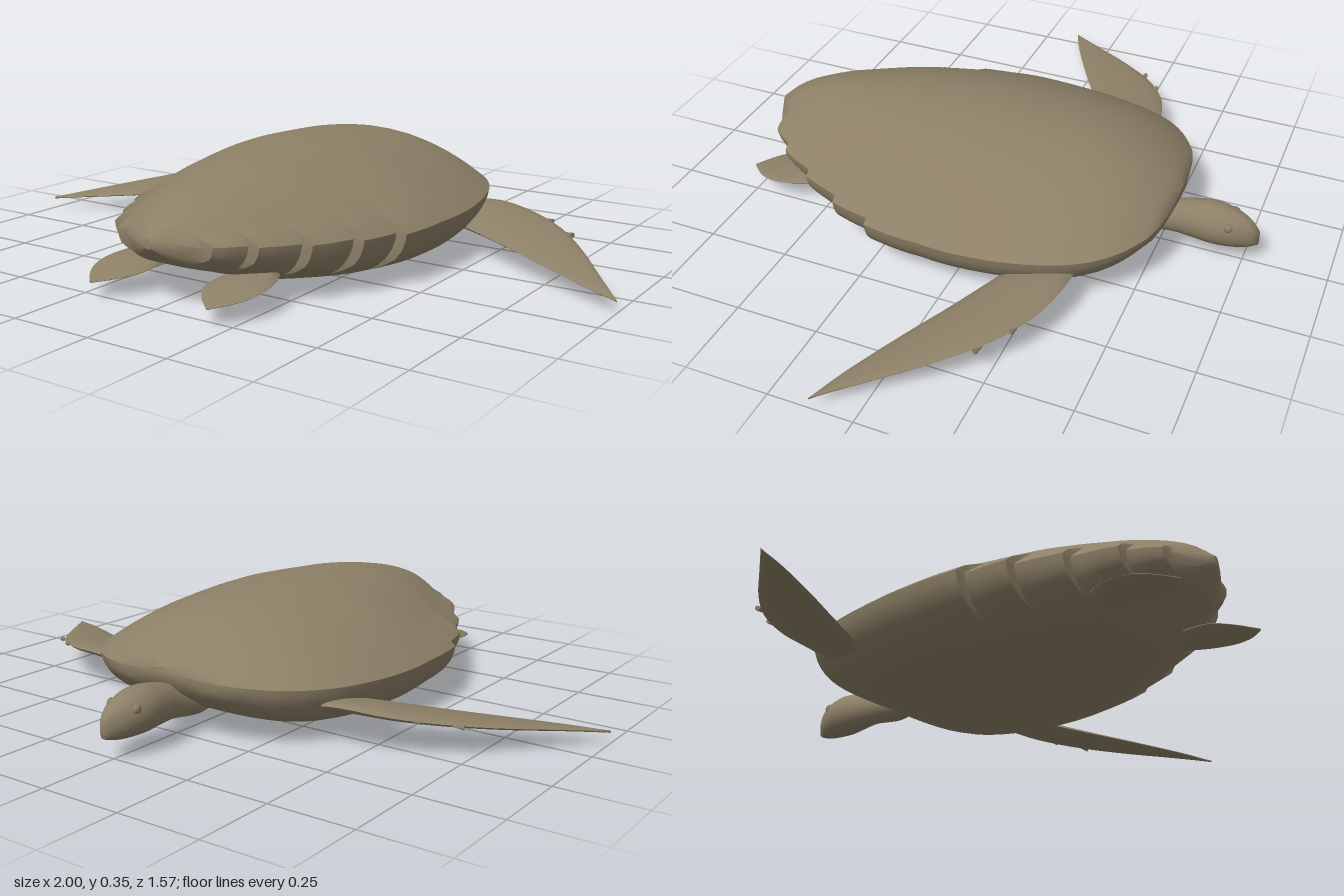
import * as THREE from 'three';
import { toCreasedNormals } from 'three/addons/utils/BufferGeometryUtils.js';

// Skin closed cross-section rings (arrays of Vector3), capping both ends
function loft(rings, crease = 0.7) {
  const n = rings[0].length, pts = rings.flat(), idx = [];
  for (let r = 0; r < rings.length - 1; r++) {
    for (let i = 0; i < n; i++) {
      const a = r * n + i, b = r * n + (i + 1) % n;
      idx.push(a, b, b + n, a, b + n, a + n);
    }
  }
  const last = (rings.length - 1) * n;
  for (let i = 1; i < n - 1; i++) {
    idx.push(0, i + 1, i, last, last + i, last + i + 1);
  }
  // turn the faces outward if the enclosed volume is negative
  let volume = 0;
  const c = new THREE.Vector3();
  for (let i = 0; i < idx.length; i += 3) {
    volume += pts[idx[i]].dot(c.crossVectors(pts[idx[i + 1]], pts[idx[i + 2]]));
  }
  if (volume < 0) idx.reverse();
  const geo = new THREE.BufferGeometry().setFromPoints(pts);
  geo.setIndex(idx);
  return toCreasedNormals(geo, crease);
}

// Smooth lookup through rows of [z, ...values]
function profile(rows) {
  const f = new THREE.CubicInterpolant(rows.map(r => r[0]), rows.flatMap(r => r.slice(1)), rows[0].length - 1);
  return z => [...f.evaluate(z)];
}

function range(a, b, n) {
  return Array.from({ length: n + 1 }, (_, i) => a + (b - a) * i / n);
}

// Shell: domed back, rounded belly, overlapping scutes along the rear rim
function shellGeometry() {
  // z, half width, top, rim, bottom
  const shape = profile([
    [-0.55, 0.07, 0.205, 0.19, 0.175], [-0.535, 0.18, 0.225, 0.185, 0.145], [-0.5, 0.265, 0.25, 0.18, 0.115],
    [-0.44, 0.345, 0.283, 0.175, 0.075], [-0.36, 0.402, 0.313, 0.17, 0.043], [-0.25, 0.442, 0.337, 0.165, 0.02],
    [-0.1, 0.468, 0.35, 0.16, 0.008], [0.08, 0.47, 0.355, 0.16, 0.005], [0.25, 0.425, 0.346, 0.16, 0.012],
    [0.38, 0.372, 0.336, 0.165, 0.027], [0.51, 0.297, 0.314, 0.17, 0.05], [0.63, 0.215, 0.284, 0.18, 0.09],
    [0.72, 0.115, 0.247, 0.185, 0.125], [0.775, 0.012, 0.2, 0.188, 0.172],
  ]);
  const steps = [0.08, 0.25, 0.38, 0.51, 0.63, 0.71];
  const flare = z => {
    for (let i = 1; i < steps.length; i++) {
      if (z > steps[i - 1] && z <= steps[i]) return 0.03 * (z - steps[i - 1]) / (steps[i] - steps[i - 1]);
    }
    return 0;
  };
  const zs = [...range(-0.55, -0.44, 8), ...range(-0.41, 0.08, 14)];
  for (let i = 1; i < steps.length; i++) {
    zs.push(...range(steps[i - 1] + 0.003, steps[i], 4));
  }
  zs.push(0.713, 0.73, 0.75, 0.775);
  const n = 48;
  return loft(zs.map(z => {
    const [w, top, rim, bottom] = shape(z);
    return Array.from({ length: n }, (_, i) => {
      const a = i / n * Math.PI * 2, u = Math.cos(a), s = Math.abs(u);
      const up = Math.sin(a) >= 0;
      const y = up ? rim + (top - rim) * (1 - s * s)
        : rim - (rim - bottom) * Math.pow(Math.max(0, 1 - Math.pow(s, 5)), 0.6);
      const edge = THREE.MathUtils.smoothstep(s, 0.78, 0.95);
      return new THREE.Vector3(u * w + Math.sign(u) * flare(z) * edge, y, z);
    });
  }), 0.6);
}

// Head and neck: oval sections along z
function headGeometry() {
  // z, half width, top, bottom
  const shape = profile([
    [-0.79, 0.006, 0.118, 0.072], [-0.78, 0.016, 0.132, 0.066], [-0.75, 0.037, 0.155, 0.057],
    [-0.7, 0.056, 0.174, 0.051], [-0.65, 0.061, 0.181, 0.05], [-0.6, 0.054, 0.175, 0.053],
    [-0.54, 0.046, 0.16, 0.055], [-0.42, 0.046, 0.12, 0.042], [-0.35, 0.02, 0.09, 0.055],
  ]);
  return loft(range(-0.79, -0.35, 30).map(z => {
    const [w, top, bottom] = shape(z);
    return range(0, Math.PI * 2, 24).slice(0, -1).map(a => new THREE.Vector3(
      Math.cos(a) * w, (top + bottom) / 2 + Math.sin(a) * (top - bottom) / 2, z));
  }), 1.2);
}

// Flipper: thin lens sections between a leading and a trailing edge
function flipperGeometry(lead, trail, thick, side) {
  const curve = p => new THREE.CatmullRomCurve3(p.map(q => new THREE.Vector3(...q)));
  const front = curve(lead), back = curve(trail);
  const n = 16, segments = 20;
  return loft(range(0, 1, segments).map(t => {
    const a = front.getPoint(t), b = back.getPoint(t);
    const h = thick * (1 - 0.85 * t);
    return Array.from({ length: n }, (_, i) => {
      const ang = i / n * Math.PI * 2;
      const p = a.clone().lerp(b, 0.5 - 0.5 * Math.cos(ang));
      p.y += Math.sin(ang) * h;
      p.x *= side;
      return p;
    });
  }), 0.9);
}

export function createModel() {
  const model = new THREE.Group();
  model.name = 'seaTurtle';
  const skin = new THREE.MeshStandardMaterial({ color: 0x8d8067 });
  skin.name = 'olive brown';
  const add = (name, geo, parent = model) => {
    const mesh = new THREE.Mesh(geo, skin);
    mesh.name = name;
    parent.add(mesh);
    return mesh;
  };

  add('shell', shellGeometry());
  add('headAndNeck', headGeometry());

  for (const side of [1, -1]) {
    const label = side > 0 ? 'left' : 'right';

    // long front flipper sweeping backward
    const front = new THREE.Group();
    front.name = label + 'FrontFlipper';
    model.add(front);
    add('frontFlipperBlade', flipperGeometry(
      [[0.36, 0.118, -0.36], [0.45, 0.125, -0.357], [0.57, 0.115, -0.325], [0.69, 0.1, -0.25],
        [0.8, 0.08, -0.135], [0.9, 0.06, -0.005], [0.995, 0.04, 0.12]],
      [[0.36, 0.085, -0.19], [0.47, 0.08, -0.135], [0.59, 0.072, -0.075], [0.7, 0.063, -0.015],
        [0.81, 0.054, 0.042], [0.91, 0.046, 0.09], [1, 0.038, 0.126]], 0.024, side), front);
    // small claws on the leading edge
    for (const [x, y, z] of [[0.632, 0.108, -0.289], [0.722, 0.094, -0.225]]) {
      const claw = add('claw', new THREE.ConeGeometry(0.008, 0.035, 6), front);
      claw.position.set(x * side, y, z);
      claw.quaternion.setFromUnitVectors(new THREE.Vector3(0, 1, 0),
        new THREE.Vector3(-0.9 * side, 0.05, -0.4).normalize());
    }

    // short rear flipper
    add(label + 'RearFlipper', flipperGeometry(
      [[0.22, 0.085, 0.5], [0.262, 0.08, 0.58], [0.274, 0.072, 0.66], [0.25, 0.062, 0.725], [0.2, 0.052, 0.782]],
      [[0.13, 0.08, 0.5], [0.108, 0.075, 0.6], [0.105, 0.068, 0.68], [0.14, 0.06, 0.735], [0.192, 0.052, 0.782]],
      0.018, side));

    // eye bulge
    const eye = add(label + 'Eye', new THREE.SphereGeometry(0.014, 14, 10));
    eye.scale.x = 0.6;
    eye.position.set(0.047 * side, 0.138, -0.705);
  }
  return model;
}
